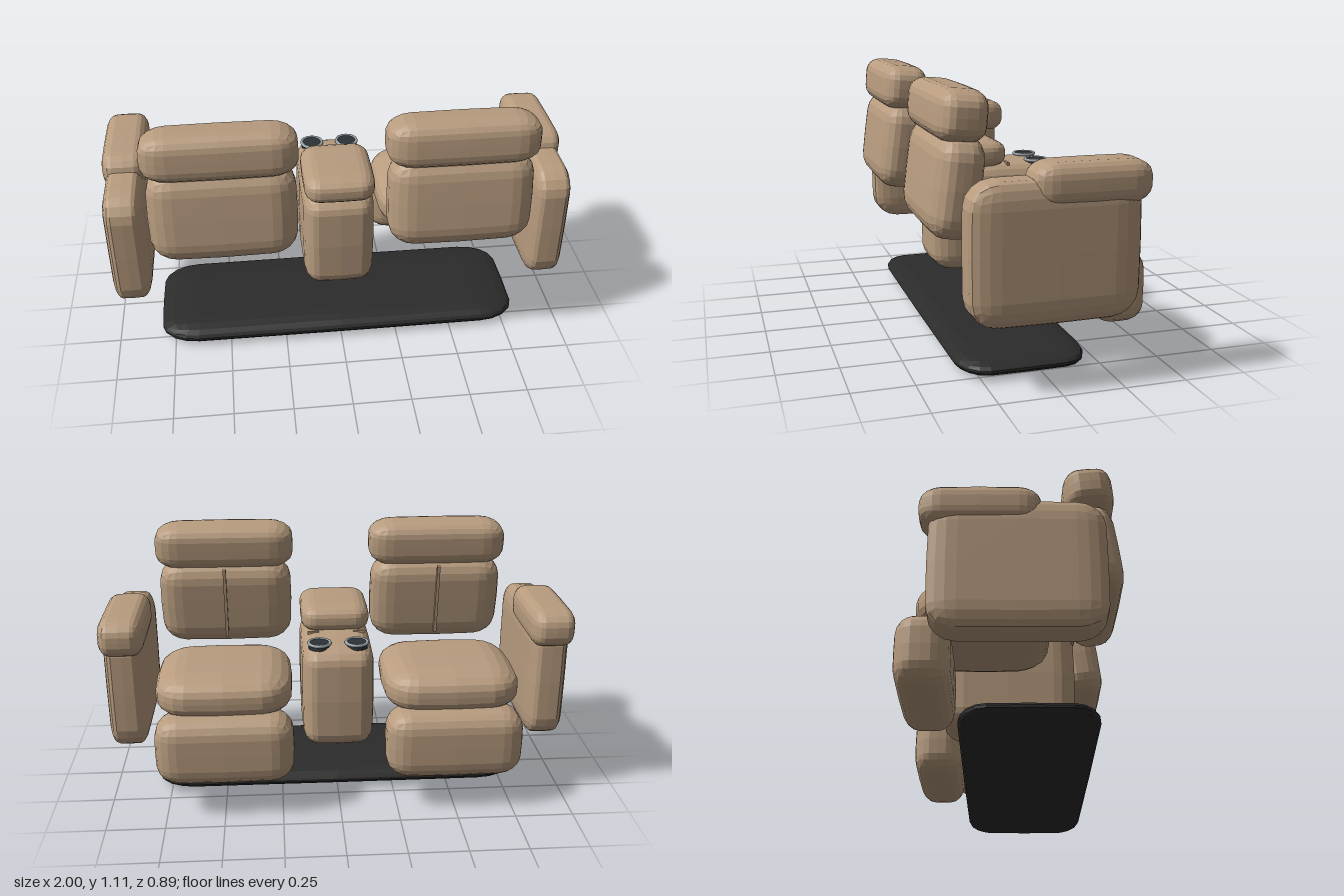
import * as THREE from 'three';

const leather = new THREE.MeshStandardMaterial({ color: 0xb89c7f, flatShading: true });
const dark = new THREE.MeshStandardMaterial({ color: 0x2b2b2b, flatShading: true });
const metal = new THREE.MeshStandardMaterial({ color: 0x98a2a6 });
const cupDark = new THREE.MeshStandardMaterial({ color: 0x2e3236 });

// Low-poly cushion: a box with its own corner radius per axis and faces that swell by `bulge`
function pillowGeometry(size, radius, bulge) {
  const geo = new THREE.BoxGeometry(2, 2, 2, 6, 6, 6);
  const pos = geo.attributes.position;
  const offsets = [0, 0, Math.tan(Math.PI / 8), 1];
  for (let i = 0; i < pos.count; i++) {
    const step = [pos.getX(i), pos.getY(i), pos.getZ(i)].map((t) => Math.round(t * 3));
    const dir = new THREE.Vector3(...step.map((s) => Math.sign(s) * offsets[Math.abs(s)])).normalize().toArray();
    const p = step.map((s, a) => {
      const core = s === 0 ? 0 : Math.sign(s) * (size[a] / 2 - radius[a]);
      return core + dir[a] * radius[a];
    });
    const n = p.map((v, a) => (v / (size[a] / 2)) ** 2);
    const sum = n[0] + n[1] + n[2];
    const q = p.map((v, a) => v * (1 - (bulge * (sum - n[a])) / 2));
    pos.setXYZ(i, ...q);
  }
  geo.computeVertexNormals();
  return geo;
}

// Cushion given by its extents on each axis
function pillow(name, x, y, z, radius, { bulge = 0.06, tilt = 0, material = leather } = {}) {
  const ranges = [x, y, z];
  const mesh = new THREE.Mesh(pillowGeometry(ranges.map(([a, b]) => b - a), radius, bulge), material);
  mesh.position.set(...ranges.map(([a, b]) => (a + b) / 2));
  mesh.rotation.x = tilt;
  mesh.name = name;
  return mesh;
}

// One recliner, centred on x = 0
function createSeat() {
  const seat = new THREE.Group();
  seat.name = 'seat';
  seat.add(
    pillow('seatCushion', [-0.295, 0.295], [0.41, 0.61], [-0.38, 0.155], [0.12, 0.07, 0.12], { bulge: 0.12 }),
    pillow('footrest', [-0.295, 0.295], [0.15, 0.455], [-0.45, -0.23], [0.09, 0.08, 0.07]),
    pillow('backrest', [-0.305, 0.305], [0.54, 0.945], [0.225, 0.425], [0.1, 0.09, 0.07], { tilt: -0.13 }),
    pillow('headrest', [-0.315, 0.315], [0.91, 1.112], [0.205, 0.41], [0.1, 0.06, 0.06], { tilt: -0.09 })
  );
  // Seam strip down the front of the backrest
  const seam = new THREE.Mesh(new THREE.BoxGeometry(0.014, 0.34, 0.02), leather);
  seam.name = 'backrestSeam';
  seam.position.set(0, 0.75, 0.215);
  seam.rotation.x = -0.13;
  seat.add(seam);
  return seat;
}

// Outer arm with its padded top
function createArm() {
  const arm = new THREE.Group();
  arm.name = 'arm';
  arm.add(
    pillow('armPanel', [-0.085, 0.085], [0.265, 0.81], [-0.315, 0.35], [0.04, 0.1, 0.11], { bulge: 0.03 }),
    pillow('armPad', [-0.095, 0.095], [0.7, 0.868], [-0.352, 0.11], [0.045, 0.06, 0.08])
  );
  return arm;
}

// Cup holder: bright rim around a dark well
function createCupHolder() {
  const cup = new THREE.Group();
  cup.name = 'cupHolder';
  const rim = new THREE.Mesh(new THREE.TorusGeometry(0.046, 0.007, 8, 24), metal);
  rim.name = 'cupRim';
  rim.rotation.x = Math.PI / 2;
  const well = new THREE.Mesh(new THREE.CylinderGeometry(0.046, 0.046, 0.03, 24), cupDark);
  well.name = 'cupWell';
  well.position.y = -0.012;
  cup.add(rim, well);
  return cup;
}

export function createModel() {
  const model = new THREE.Group();
  model.name = 'doubleRecliner';

  // Floor plinth
  model.add(pillow('base', [-0.81, 0.81], [0, 0.08], [-0.205, 0.33], [0.16, 0.035, 0.11], { bulge: 0.02, material: dark }));

  // Centre console
  const console_ = new THREE.Group();
  console_.name = 'console';
  console_.add(
    pillow('consoleBody', [-0.158, 0.158], [0.235, 0.71], [-0.305, 0.28], [0.06, 0.07, 0.09]),
    pillow('consolePad', [-0.152, 0.152], [0.69, 0.812], [-0.065, 0.295], [0.06, 0.045, 0.07])
  );
  model.add(console_);

  // Mirrored pairs
  for (const side of [-1, 1]) {
    const seat = createSeat();
    seat.position.x = side * 0.492;
    const arm = createArm();
    arm.position.x = side * 0.905;
    const cup = createCupHolder();
    cup.position.set(side * 0.08, 0.712, -0.21);
    const hinge = new THREE.Mesh(new THREE.BoxGeometry(0.05, 0.012, 0.012), leather);
    hinge.name = 'padHinge';
    hinge.position.set(side * 0.1, 0.705, -0.068);
    model.add(seat, arm, cup, hinge);
  }
  return model;
}
